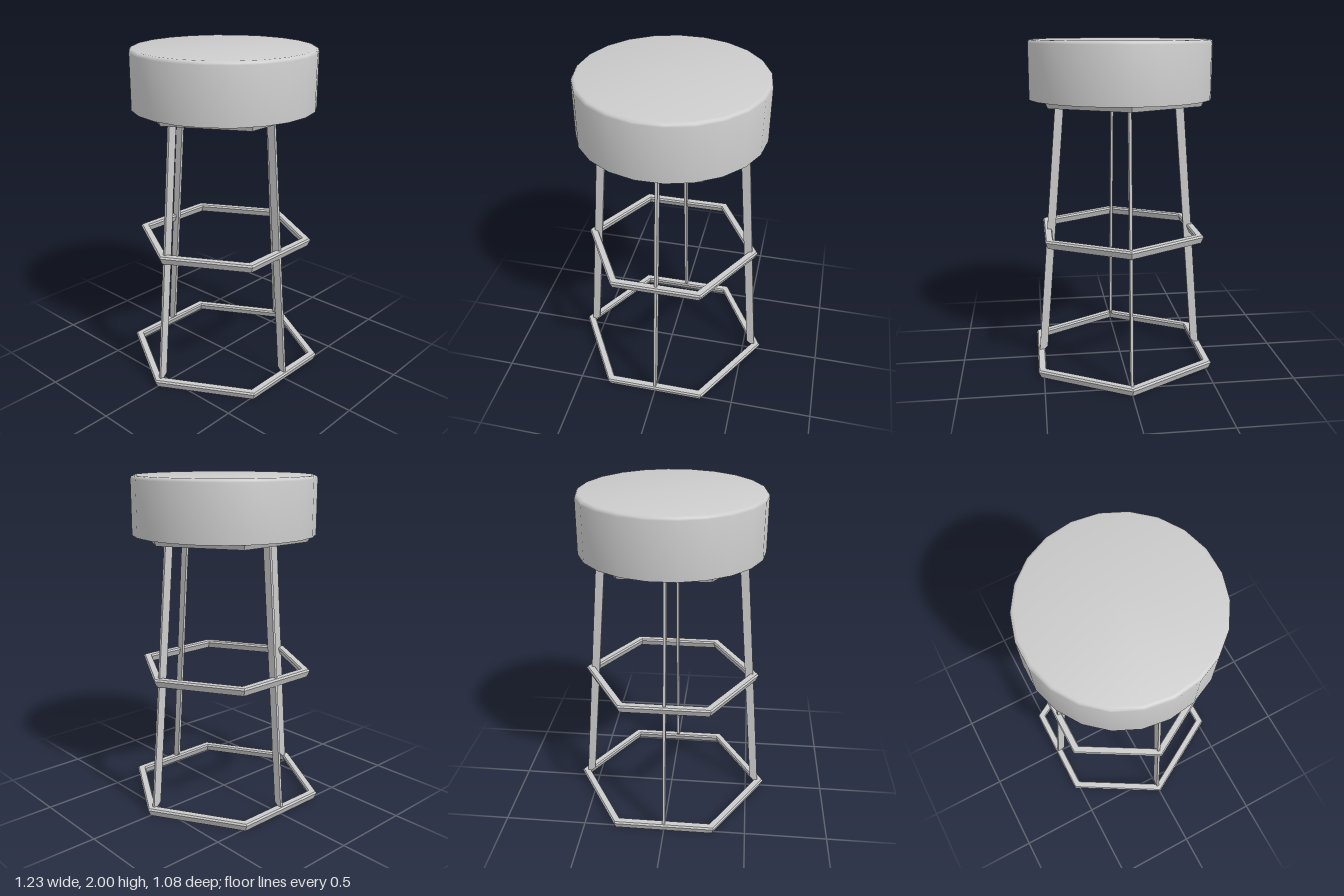
import * as THREE from 'three';
import { toCreasedNormals } from 'three/addons/utils/BufferGeometryUtils.js';

const smooth = new THREE.MeshStandardMaterial({ color: 0xcccccc });
const flat = new THREE.MeshStandardMaterial({ color: 0xcccccc, flatShading: true });

function add(parent, name, geometry, material) {
  const mesh = new THREE.Mesh(geometry, material);
  mesh.name = name;
  parent.add(mesh);
  return mesh;
}

// Six-sided ring, corners on the x axis; the bar narrows towards its underside
function hexRing(radius, y) {
  const section = [
    [-0.018, 0], [0, 0.038], [-0.008, 0.049],
    [-0.05, 0.049], [-0.057, 0.038], [-0.038, 0], [-0.018, 0],
  ].map(([r, h]) => new THREE.Vector2(radius + r, y + h));
  return new THREE.LatheGeometry(section, 6, Math.PI / 2);
}

// Flat leaning bar in the xy plane, with its lower inner corner cut off
function legBar(outerFoot, outerTop) {
  const width = 0.052, thickness = 0.016;
  const shape = new THREE.Shape([
    [outerFoot, 0.04], [outerTop, 1.63], [outerTop - width, 1.63],
    [outerFoot - width, 0.07], [outerFoot - width + 0.025, 0.045],
  ].map(([x, y]) => new THREE.Vector2(x, y)));
  const geometry = new THREE.ExtrudeGeometry(shape, { depth: thickness, bevelEnabled: false });
  return geometry.translate(0, 0, -thickness / 2);
}

export function createModel() {
  const stool = new THREE.Group();
  stool.name = 'stool';

  // Round seat with a softened top rim
  const profile = [
    [0, 1.655], [0.548, 1.655], [0.548, 1.98], [0.545, 1.99],
    [0.538, 1.997], [0.528, 2], [0, 2],
  ].map(([r, y]) => new THREE.Vector2(r, y));
  const seat = new THREE.LatheGeometry(profile, 22, Math.PI / 2);
  add(stool, 'seat', toCreasedNormals(seat, 0.7), smooth);

  // Solid six-sided plate under the seat
  const plate = new THREE.CylinderGeometry(0.526, 0.509, 0.034, 6, 1, false, Math.PI / 2);
  add(stool, 'seatPlate', plate, flat).position.y = 1.64;

  // Rings for the feet and on the floor
  add(stool, 'footRing', hexRing(0.547, 0.804), flat);
  add(stool, 'floorRing', hexRing(0.616, 0), flat);

  // Four legs; the front and back pair stand closer to the centre
  const names = ['leftLeg', 'backLeg', 'rightLeg', 'frontLeg'];
  names.forEach((name, i) => {
    const geometry = i % 2 ? legBar(0.52, 0.39) : legBar(0.578, 0.448);
    add(stool, name, geometry, flat).rotation.y = i * Math.PI / 2;
  });

  return stool;
}
